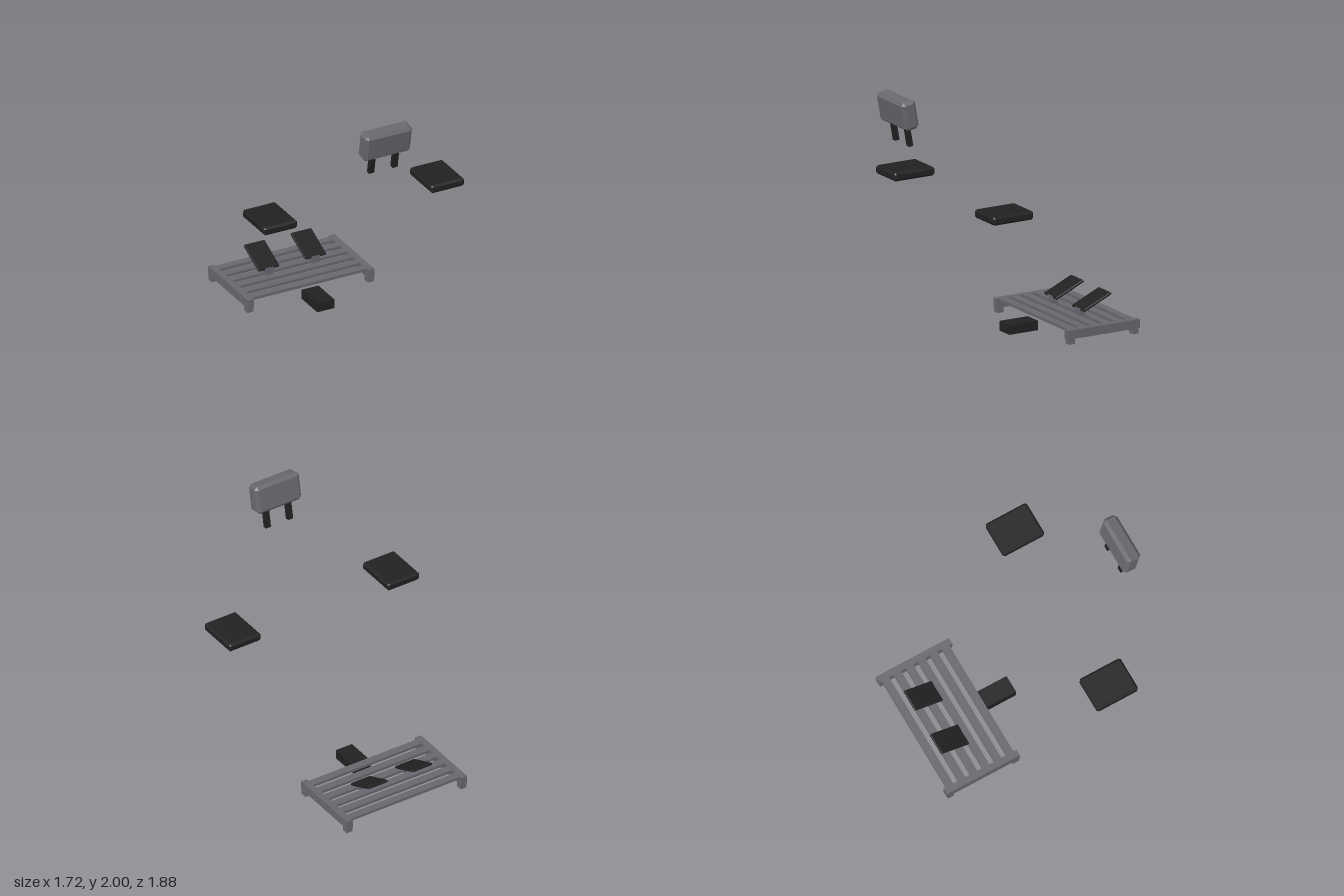
import * as THREE from 'three';
import { ConvexGeometry } from 'three/addons/geometries/ConvexGeometry.js';

const grey = new THREE.MeshStandardMaterial({ color: 0x68676e });
grey.name = 'frame grey';
const black = new THREE.MeshStandardMaterial({ color: 0x212121 });
black.name = 'pad black';

// Box with all edges chamfered by c
function chamferBox(w, h, d, c) {
  const points = [];
  for (const sx of [-1, 1]) for (const sy of [-1, 1]) for (const sz of [-1, 1]) {
    const x = w / 2, y = h / 2, z = d / 2;
    points.push(
      new THREE.Vector3(sx * x, sy * (y - c), sz * (z - c)),
      new THREE.Vector3(sx * (x - c), sy * y, sz * (z - c)),
      new THREE.Vector3(sx * (x - c), sy * (y - c), sz * z));
  }
  return new ConvexGeometry(points);
}

function add(parent, name, geometry, material, x, y, z) {
  const mesh = new THREE.Mesh(geometry, material);
  mesh.name = name;
  mesh.position.set(x, y, z);
  parent.add(mesh);
  return mesh;
}

const box = (w, h, d) => new THREE.BoxGeometry(w, h, d);

export function createModel() {
  const model = new THREE.Group();
  model.name = 'seatFittings';

  // Slatted foot platform
  const platform = new THREE.Group();
  platform.name = 'footPlatform';
  model.add(platform);
  for (let i = 0; i < 6; i++) {
    add(platform, 'slat', box(0.99, 0.022, 0.063), grey, 0, 0.099, -0.888 + i * 0.1042);
  }
  for (const side of [-1, 1]) {
    add(platform, 'sideRail', box(0.052, 0.07, 0.632), grey, side * 0.515, 0.075, -0.625);
    for (const z of [-0.342, -0.905]) {
      add(platform, 'foot', box(0.052, 0.04, 0.052), grey, side * 0.515, 0.02, z);
    }

    // Tilted pedals on brackets
    add(model, 'pedalBracket', box(0.07, 0.06, 0.047), grey, side * 0.2, 0.138, -0.624);
    const pedal = add(model, 'pedal', chamferBox(0.178, 0.02, 0.264, 0.005), black,
      side * 0.2, 0.212, -0.725);
    pedal.rotation.x = 0.42;

    // Arm pads
    add(model, 'armPad', chamferBox(0.286, 0.067, 0.357, 0.015), black, side * 0.715, 1.163, 0.361);
  }

  // Block in front of the platform
  add(model, 'frontBlock', box(0.145, 0.075, 0.252), black, 0, 0.0375, -0.202);

  // Headrest leaning forward on two posts
  const headrest = new THREE.Group();
  headrest.name = 'headrest';
  headrest.position.set(0, 1.88, 0.864);
  headrest.rotation.x = 0.18;
  model.add(headrest);
  add(headrest, 'headrestCushion', chamferBox(0.4, 0.232, 0.122, 0.025), grey, 0, 0, 0);
  for (const side of [-1, 1]) {
    add(headrest, 'headrestPost', box(0.044, 0.17, 0.034), black, side * 0.1, -0.18, 0);
  }

  return model;
}
